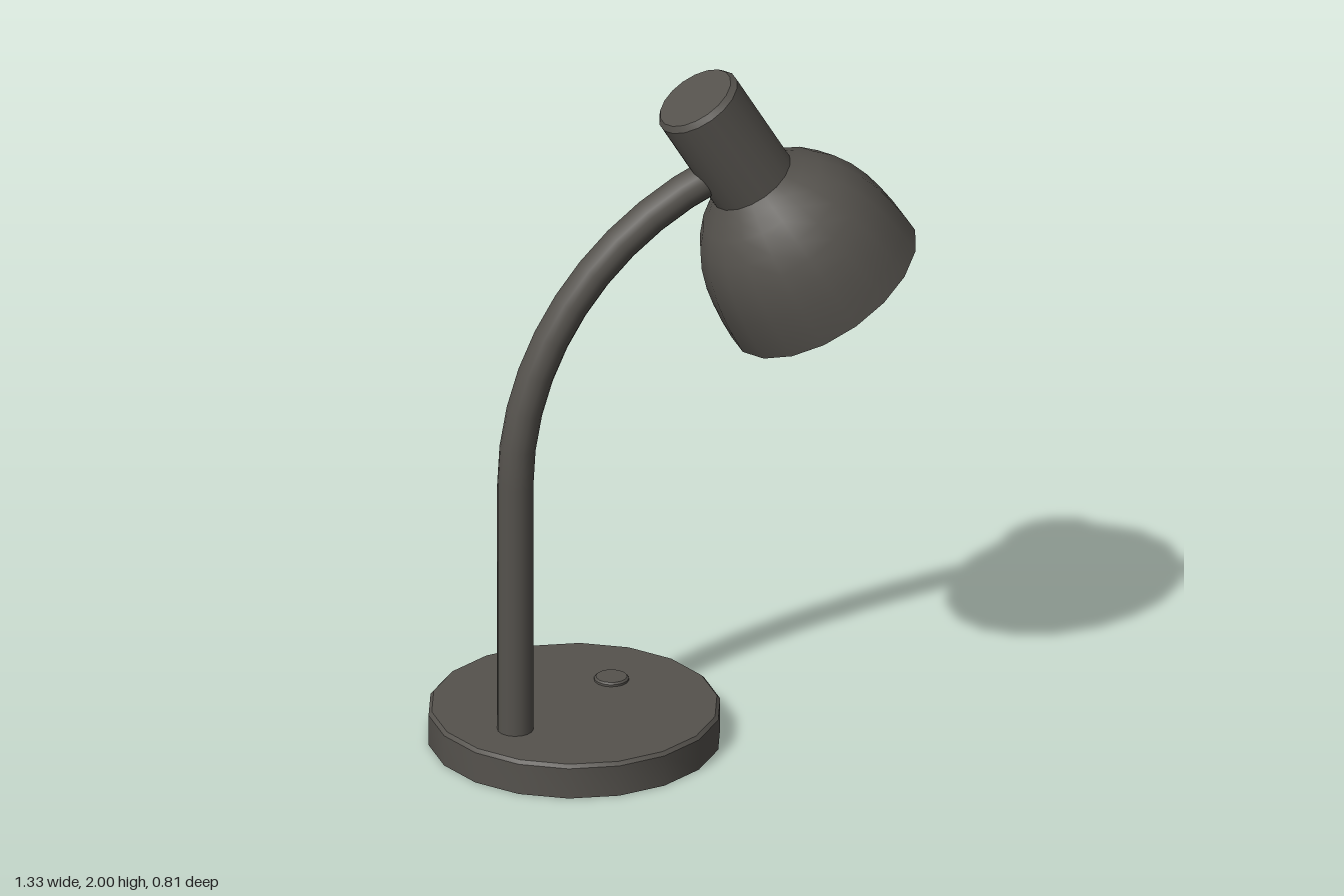
import * as THREE from 'three';
import { toCreasedNormals } from 'three/addons/utils/BufferGeometryUtils.js';

const SIDES = 18;
const ARM_Z = 0.107;
const rad = THREE.MathUtils.degToRad;

const dark = new THREE.MeshStandardMaterial({ color: 0x55524d, side: THREE.DoubleSide });
const white = new THREE.MeshStandardMaterial({ color: 0xe8e8e8, side: THREE.DoubleSide });

function part(parent, name, geometry, x = 0, y = 0, z = 0, material = dark) {
  const mesh = new THREE.Mesh(geometry, material);
  mesh.name = name;
  mesh.position.set(x, y, z);
  parent.add(mesh);
  return mesh;
}

// Turned part from [radius, height] pairs
function turned(profile, sides = SIDES) {
  const points = profile.map(([r, y]) => new THREE.Vector2(r, y));
  return toCreasedNormals(new THREE.LatheGeometry(points, sides), rad(35));
}

export function createModel() {
  const lamp = new THREE.Group();
  lamp.name = 'deskLamp';

  // Hollow base, open underneath, with a softened top edge
  part(lamp, 'base', turned([[0.405, 0], [0.405, 0.09], [0.396, 0.1], [0, 0.1]]), -0.27, 0, 0);

  // Push button
  part(lamp, 'button', turned([[0.048, 0.085], [0.048, 0.106], [0.043, 0.111], [0, 0.111]], 16), -0.125, 0, -0.118);

  // Straight post, then a circular bend that ends inside the neck
  const postX = -0.475, bendY = 0.84, bendR = 0.935, bend = rad(68), tube = 0.05;
  const postLength = bendY - 0.08;
  part(lamp, 'post', new THREE.CylinderGeometry(tube, tube, postLength, 16, 1, true),
    postX, 0.08 + postLength / 2, ARM_Z);
  const arm = part(lamp, 'curvedArm', new THREE.TorusGeometry(bendR, tube, 16, 10, bend),
    postX + bendR, bendY, ARM_Z);
  arm.rotation.z = Math.PI - bend;

  // Tilted head, with its origin at the centre of the mouth
  const head = new THREE.Group();
  head.name = 'head';
  head.position.set(0.415, 1.325, ARM_Z);
  head.rotation.z = rad(31);
  lamp.add(head);

  // Rim, bell and neck
  part(head, 'shade', turned([
    [0.262, 0.03], [0.295, 0], [0.292, 0.06], [0.285, 0.12], [0.275, 0.175], [0.256, 0.235],
    [0.229, 0.29], [0.187, 0.345], [0.15, 0.378], [0.124, 0.405],
    [0.124, 0.702], [0.112, 0.718], [0, 0.718],
  ]));

  // Pale reflector and the dark socket plate above it
  part(head, 'reflector', turned([
    [0.11, 0.375], [0.155, 0.335], [0.2, 0.28], [0.228, 0.225], [0.247, 0.165], [0.257, 0.1], [0.262, 0.03],
  ]), 0, 0, 0, white);
  part(head, 'socketPlate', turned([[0, 0.375], [0.11, 0.375]]));

  return lamp;
}
